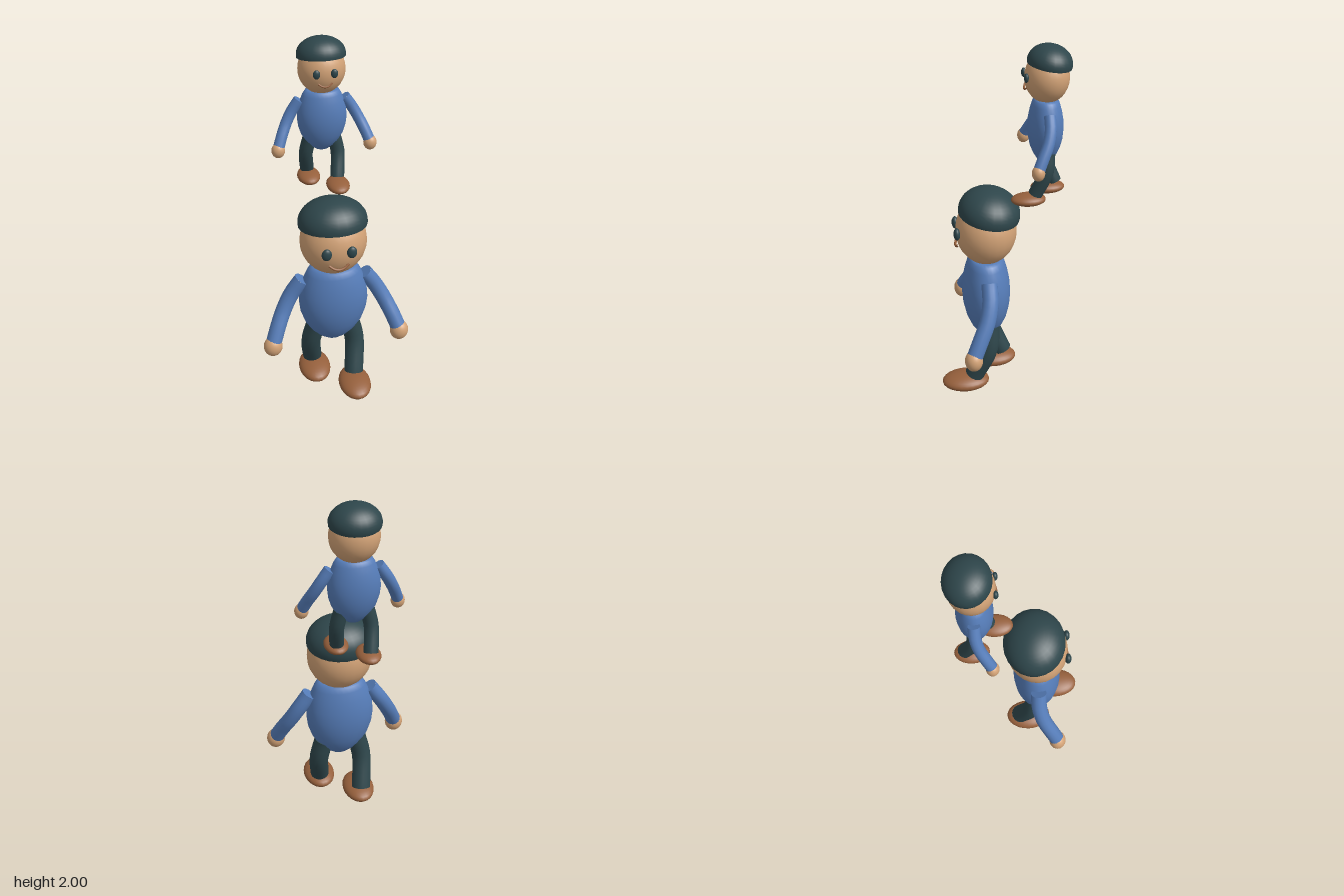
import * as THREE from 'three';

const mat = (name, color) => Object.assign(new THREE.MeshStandardMaterial({ color }), { name });
const V = (x, y, z) => new THREE.Vector3(x, y, z);

export function createModel() {
  const skin = mat('skin', 0xd2a276);
  const blue = mat('blue shirt', 0x567db9);
  const dark = mat('dark slate', 0x2e464b);
  const brown = mat('brown leather', 0x96603c);

  const add = (group, name, geometry, material) => {
    const mesh = new THREE.Mesh(geometry, material);
    mesh.name = name;
    group.add(mesh);
    return mesh;
  };

  const ellipsoid = (group, name, material, pos, radii) => {
    const mesh = add(group, name, new THREE.SphereGeometry(1, 24, 16), material);
    mesh.position.set(...pos);
    mesh.scale.set(...radii);
    return mesh;
  };

  // Bent limb with flat end caps
  const limb = (group, name, material, points, radius) => {
    const curve = new THREE.CatmullRomCurve3(points);
    add(group, name, new THREE.TubeGeometry(curve, 10, radius, 16), material);
    [0, 1].forEach((t) => {
      const cap = add(group, name + 'End', new THREE.CircleGeometry(radius, 16), material);
      const out = curve.getTangent(t).multiplyScalar(t ? 1 : -1);
      cap.position.copy(curve.getPoint(t));
      cap.quaternion.setFromUnitVectors(V(0, 0, 1), out);
    });
  };

  const createFigure = (name) => {
    const figure = new THREE.Group();
    figure.name = name;

    // Egg-shaped body, flattened front to back
    const profile = [[0, 0.31], [0.05, 0.325], [0.09, 0.355], [0.13, 0.4], [0.165, 0.46], [0.187, 0.53],
      [0.195, 0.6], [0.189, 0.67], [0.172, 0.735], [0.15, 0.79], [0.132, 0.82], [0.11, 0.83], [0, 0.835]]
      .map(([r, y]) => new THREE.Vector2(r, y));
    const torso = add(figure, 'torso', new THREE.LatheGeometry(profile, 28), blue);
    torso.position.z = 0.085;
    torso.scale.z = 0.695;

    // Head, cap and face
    ellipsoid(figure, 'head', skin, [0, 0.99, 0.082], [0.182, 0.19, 0.167]);
    const cap = add(figure, 'cap', new THREE.SphereGeometry(1, 24, 12, 0, Math.PI * 2, 0, Math.PI * 0.55), dark);
    cap.material.side = THREE.DoubleSide;
    cap.position.set(0, 1.1, 0.064);
    cap.scale.set(0.188, 0.132, 0.168);
    cap.rotation.x = -0.15;
    const mouth = new THREE.CatmullRomCurve3([
      V(-0.053, 0.932, 0.236), V(-0.028, 0.915, 0.246), V(0, 0.909, 0.25), V(0.028, 0.915, 0.246), V(0.053, 0.932, 0.236)]);
    add(figure, 'mouth', new THREE.TubeGeometry(mouth, 12, 0.007, 8), brown);

    for (const s of [-1, 1]) {
      const side = s > 0 ? 'left' : 'right';
      ellipsoid(figure, side + 'Eye', dark, [s * 0.067, 1.01, 0.245], [0.027, 0.035, 0.018]);

      // Arms swing outward and forward
      limb(figure, side + 'Arm', blue, [
        V(s * 0.175, 0.752, 0.085), V(s * 0.235, 0.665, 0.087), V(s * 0.285, 0.575, 0.11),
        V(s * 0.328, 0.485, 0.153), V(s * 0.36, 0.405, 0.19)], 0.044);
      ellipsoid(figure, side + 'Hand', skin, [s * 0.363, 0.39, 0.193], [0.053, 0.06, 0.049]);

      // Striding legs: the left one leads
      const lead = s > 0;
      limb(figure, side + 'Leg', dark, [
        V(s * 0.095, 0.425, 0.075), V(s * 0.125, 0.28, lead ? 0.09 : 0.055),
        V(s * 0.108, 0.095, lead ? 0.168 : -0.018)], 0.056);
      ellipsoid(figure, side + 'Shoe', brown, [s * 0.103, 0.05, lead ? 0.22 : 0.035], [0.093, 0.046, 0.136]);
    }
    return figure;
  };

  const model = new THREE.Group();
  model.name = 'stackedFigures';
  const lower = createFigure('lowerFigure');
  const upper = createFigure('upperFigure');
  upper.scale.setScalar(0.68);
  upper.position.set(0, 1.163, -0.286);
  model.add(lower, upper);
  return model;
}
